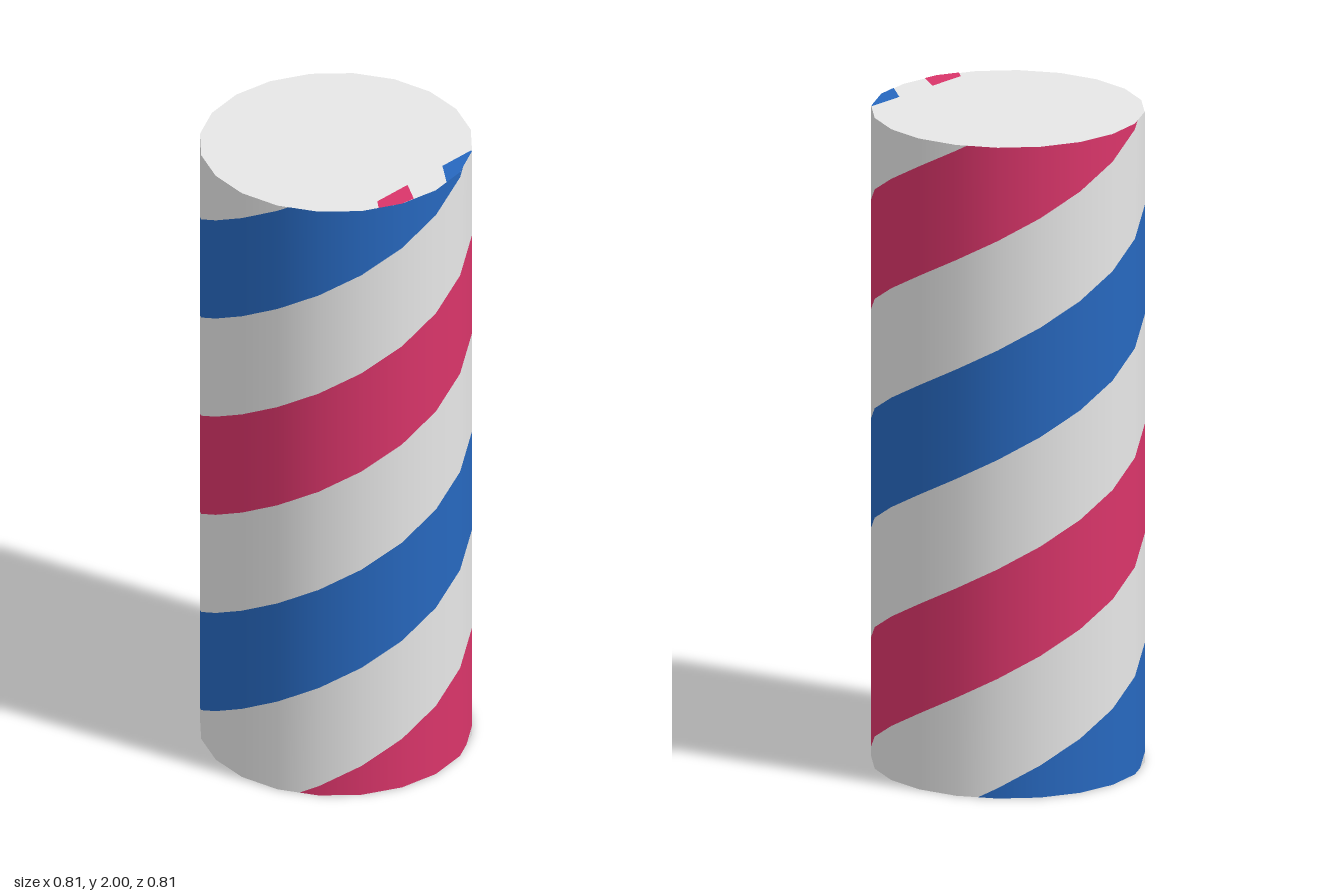
import * as THREE from 'three';

const R = 0.404, H = 2, SIDES = 20;
const BAND = 0.3363;          // upright height of one band
const PITCH = BAND * 4;       // rise per full turn: red, white, blue, white
const START = -0.103;         // lower edge of the first red band at the front
const INSET = 0.002;          // caps sit just below the painted marks

const makeMaterial = (name, color) => {
  const m = new THREE.MeshStandardMaterial({ color });
  m.name = name;
  return m;
};

// Keep the part of a convex [angle step, height] polygon where sign * (y - limit) >= 0
function clip(poly, limit, sign) {
  const out = [];
  poly.forEach((a, i) => {
    const b = poly[(i + 1) % poly.length];
    const da = sign * (a[1] - limit), db = sign * (b[1] - limit);
    if (da >= 0) out.push(a);
    if (da * db < 0) {
      const t = da / (da - db);
      out.push([a[0] + (b[0] - a[0]) * t, limit]);
    }
  });
  return out;
}

// All helical bands whose number (mod 4) is in the list, as one surface
function stripeGeometry(kinds) {
  const pos = [], norm = [];
  const rise = PITCH / SIDES;
  for (let i = 0; i < SIDES; i++) {
    const a0 = (i / SIDES) * Math.PI * 2, a1 = ((i + 1) / SIDES) * Math.PI * 2;
    const put = ([t, y]) => {
      const sx = Math.sin(a0) * (1 - t) + Math.sin(a1) * t;
      const sz = Math.cos(a0) * (1 - t) + Math.cos(a1) * t;
      const l = Math.hypot(sx, sz);
      pos.push(sx * R, y, sz * R);
      norm.push(sx / l, 0, sz / l);
    };
    for (let k = -6; k < 8; k++) {
      if (!kinds.includes((k + 8) % 4)) continue;
      const lo = START + k * BAND + rise * i;
      let poly = [[0, lo], [1, lo + rise], [1, lo + rise + BAND], [0, lo + BAND]];
      poly = clip(clip(poly, 0, 1), H, -1);
      for (let j = 1; j + 1 < poly.length; j++) [poly[0], poly[j], poly[j + 1]].forEach(put);
    }
  }
  const g = new THREE.BufferGeometry();
  g.setAttribute('position', new THREE.Float32BufferAttribute(pos, 3));
  g.setAttribute('normal', new THREE.Float32BufferAttribute(norm, 3));
  return g;
}

// Flat mark on an end cap from [x, z] corners
function markGeometry(points, top) {
  const s = new THREE.Shape(points.map(([x, z]) => new THREE.Vector2(x, top ? -z : z)));
  return new THREE.ShapeGeometry(s).rotateX(top ? -Math.PI / 2 : Math.PI / 2).translate(0, top ? H : 0, 0);
}

export function createModel() {
  const white = makeMaterial('white', 0xe8e8e8);
  const red = makeMaterial('crimson', 0xda356a);
  const blue = makeMaterial('blue', 0x2768bf);
  const model = new THREE.Group();
  model.name = 'stripedPole';
  const add = (name, geometry, material) => {
    const mesh = new THREE.Mesh(geometry, material);
    mesh.name = name;
    model.add(mesh);
  };

  // Spiral stripes around the side
  add('whiteStripes', stripeGeometry([1, 3]), white);
  add('redStripe', stripeGeometry([0]), red);
  add('blueStripe', stripeGeometry([2]), blue);

  // End caps
  const disc = () => new THREE.CircleGeometry(R, SIDES);
  add('topCap', disc().rotateX(-Math.PI / 2).translate(0, H - INSET, 0), white);
  add('bottomCap', disc().rotateX(Math.PI / 2).translate(0, INSET, 0), white);

  // Small painted marks at the front rim of the caps
  add('topRedMark', markGeometry([[-0.19, 0.351], [-0.165, 0.322], [-0.035, 0.322], [-0.08, 0.39], [-0.125, 0.384]], true), red);
  add('topBlueMark', markGeometry([[0.055, 0.395], [0.115, 0.322], [0.237, 0.322], [0.237, 0.327], [0.125, 0.384]], true), blue);
  add('bottomRedMark', markGeometry([[-0.17, 0.36], [-0.15, 0.335], [-0.05, 0.335], [0, 0.403], [-0.125, 0.384]], false), red);
  add('bottomBlueMark', markGeometry([[0.16, 0.335], [0.222, 0.335], [0.185, 0.353]], false), blue);

  return model;
}
